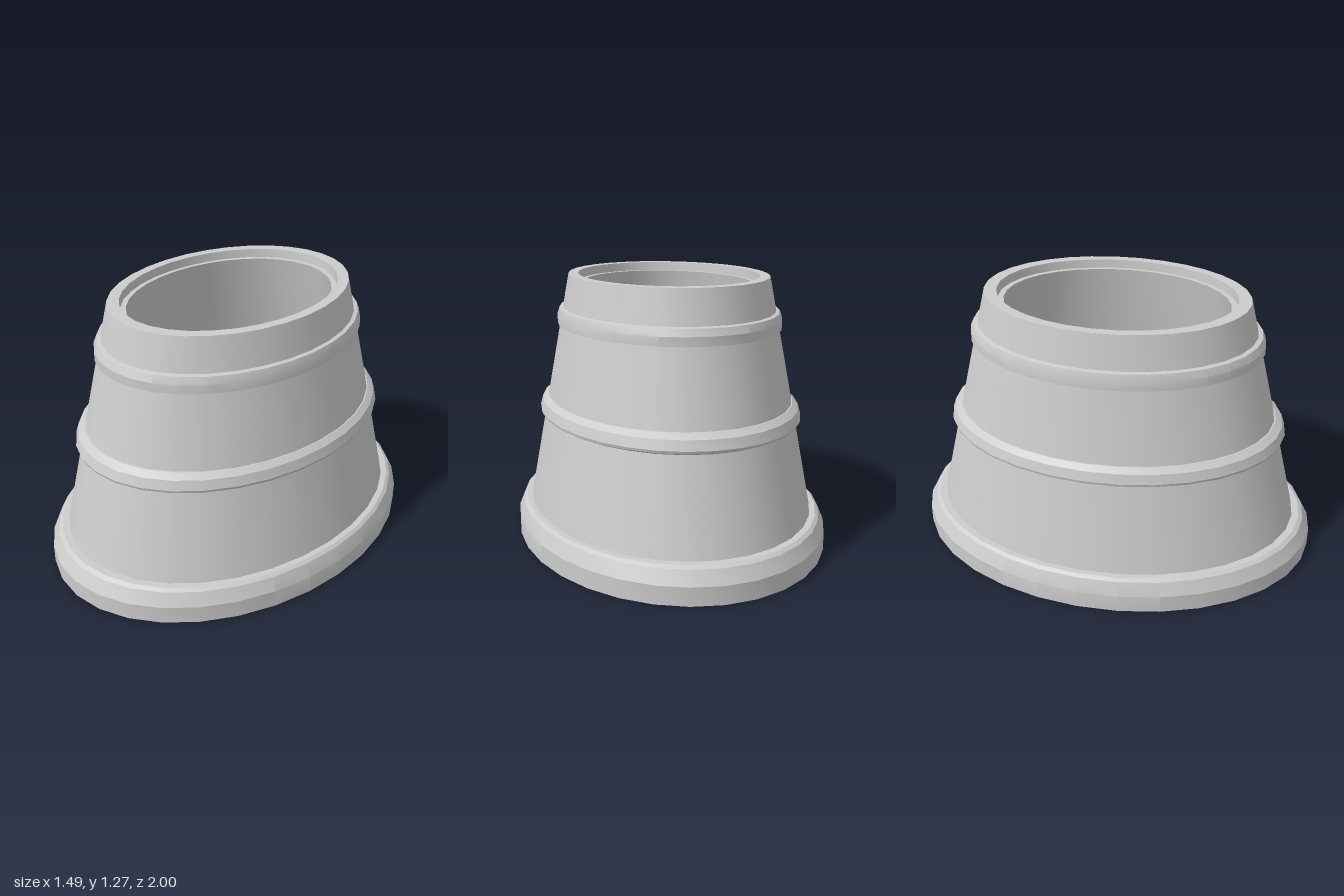
import * as THREE from 'three';
import { toCreasedNormals } from 'three/addons/utils/BufferGeometryUtils.js';

const OVAL = 0.747; // width of the oval relative to its length
const SIDES = 32;

export function createModel() {
  const group = new THREE.Group();
  group.name = 'ovalTub';
  const material = new THREE.MeshStandardMaterial({ color: 0xcccccc });

  // Turns a [radius, height] profile and squashes it into an oval
  function ovalLathe(name, profile) {
    const points = profile.map(([r, y]) => new THREE.Vector2(r, y));
    const geometry = new THREE.LatheGeometry(points, SIDES);
    geometry.scale(OVAL, 1, 1);
    const mesh = new THREE.Mesh(toCreasedNormals(geometry, 0.4), material);
    mesh.name = name;
    group.add(mesh);
  }

  // Closed underside and bevelled foot
  ovalLathe('base', [
    [0, 0], [1, 0], [1, 0.085], [0.965, 0.148], [0.945, 0.16], [0.905, 0.16],
  ]);

  // Tapered wall, flat rim, stepped lip and hollow inside
  ovalLathe('body', [
    [0.912, 0.15], [0.633, 1.267], [0.572, 1.267], [0.568, 1.225],
    [0.54, 1.225], [0.82, 0.06], [0, 0.06],
  ]);

  // Raised hoop around the middle
  ovalLathe('middleBand', [
    [0.795, 0.588], [0.832, 0.603], [0.836, 0.615], [0.82, 0.66], [0.786, 0.683], [0.77, 0.683],
  ]);

  // Raised hoop below the rim
  ovalLathe('upperBand', [
    [0.685, 1.03], [0.71, 1.03], [0.71, 1.072], [0.695, 1.105], [0.667, 1.11],
  ]);

  return group;
}
